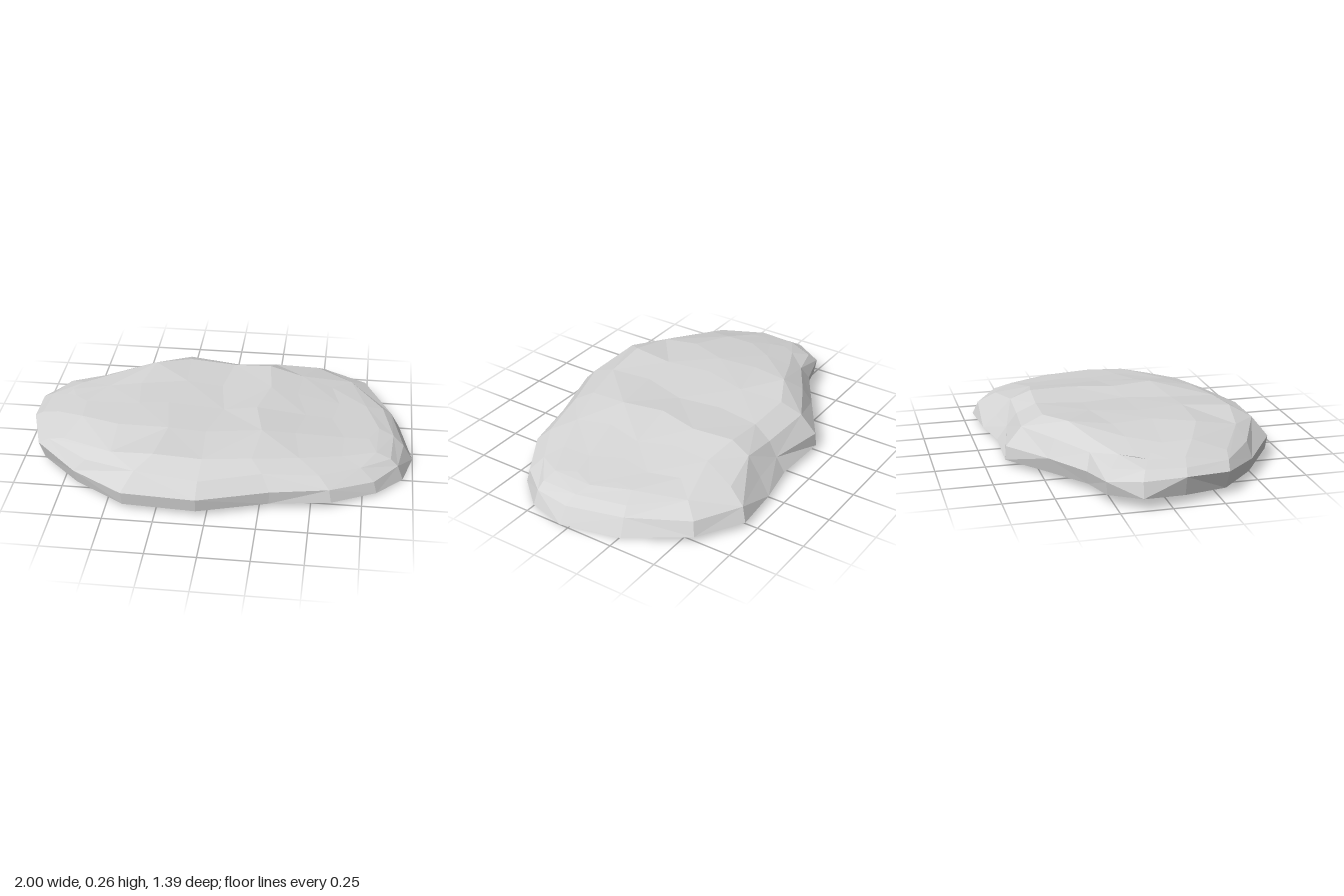
import * as THREE from 'three';

// Widest outline, from +x round through +z: x, z, base height, rim height, lean
// (lean > 0 draws the rim inward, lean < 0 draws the base inward)
const OUTLINE = [
  [1, 0.05, 0, 0.08, 0.05], [0.95, 0.25, 0.005, 0.08, 0.03], [0.82, 0.4, 0.015, 0.075, 0.02],
  [0.6, 0.53, 0.03, 0.095, 0.02], [0.3, 0.58, 0.03, 0.1, -0.01], [-0.05, 0.69, 0.03, 0.1, -0.015],
  [-0.42, 0.67, 0.03, 0.1, -0.015], [-0.69, 0.49, 0.02, 0.09, -0.02], [-0.91, 0.3, 0.03, 0.12, -0.03],
  [-0.98, 0.07, 0.045, 0.14, -0.02], [-1, -0.14, 0.06, 0.135, 0.02], [-0.9, -0.29, 0.05, 0.12, -0.02],
  [-0.72, -0.34, 0.04, 0.11, -0.03], [-0.5, -0.48, 0.03, 0.11, -0.03], [-0.25, -0.65, 0.03, 0.1, 0.01],
  [0.06, -0.64, 0.03, 0.1, 0.08], [0.28, -0.68, 0.03, 0.1, 0.1], [0.53, -0.7, 0.03, 0.1, 0.04],
  [0.76, -0.56, 0.03, 0.1, 0.03], [0.93, -0.26, 0.005, 0.09, 0.05],
];

// Shoulder where the sloping sides meet the top: x, y, z
const SHOULDER = [
  [0.82, 0.145, 0], [0.81, 0.14, 0.22], [0.64, 0.155, 0.3], [0.43, 0.18, 0.38], [0.2, 0.205, 0.45],
  [-0.04, 0.215, 0.5], [-0.28, 0.235, 0.51], [-0.5, 0.205, 0.47], [-0.77, 0.175, 0.33],
  [-0.85, 0.19, 0.1], [-0.84, 0.19, -0.08], [-0.77, 0.2, -0.2], [-0.6, 0.225, -0.28],
  [-0.4, 0.258, -0.36], [-0.22, 0.24, -0.45], [0.02, 0.225, -0.44], [0.22, 0.235, -0.43],
  [0.4, 0.2, -0.4], [0.56, 0.17, -0.35], [0.75, 0.152, -0.2],
];

// Height of the top along x
const CREST = [[-1, 0.14], [-0.85, 0.19], [-0.68, 0.225], [-0.42, 0.245], [-0.15, 0.24],
  [0, 0.22], [0.22, 0.237], [0.45, 0.19], [0.6, 0.168], [0.82, 0.145], [1, 0.1]];

function crestHeight(x) {
  const i = Math.max(1, CREST.findIndex((p) => p[0] >= x));
  const [a, b] = [CREST[i - 1], CREST[i]];
  return THREE.MathUtils.mapLinear(x, a[0], b[0], a[1], b[1]);
}

const mix = (p, q, t) => p.map((v, k) => v + (q[k] - v) * t);

function facetedMesh(name, positions, material) {
  const geometry = new THREE.BufferGeometry();
  geometry.setAttribute('position', new THREE.Float32BufferAttribute(positions, 3));
  geometry.computeVertexNormals(); // unshared corners give flat facets
  const mesh = new THREE.Mesh(geometry, material);
  mesh.name = name;
  return mesh;
}

// Two triangles with alternating diagonals
function quad(positions, a, b, c, d, flip) {
  if (flip) positions.push(...a, ...d, ...b, ...b, ...d, ...c);
  else positions.push(...a, ...d, ...c, ...a, ...c, ...b);
}

// Sides: rings from the open bottom edge over the rim to the shoulder
function sidePositions() {
  const base = OUTLINE.map(([x, z, y, , lean]) => {
    const s = 1 + Math.min(0, lean);
    return [x * s, y, z * s];
  });
  const rim = OUTLINE.map(([x, z, , y, lean]) => {
    const s = 1 - Math.max(0, lean);
    return [x * s, y, z * s];
  });
  const slope = rim.map((p, i) => {
    const point = mix(p, SHOULDER[i], i % 2 ? 0.34 : 0.42);
    point[1] += (SHOULDER[i][1] - p[1]) * 0.24;
    return point;
  });
  const rings = [base, rim, slope, SHOULDER];
  const positions = [];
  for (let r = 0; r < rings.length - 1; r++) {
    for (let i = 0; i < OUTLINE.length; i++) {
      const j = (i + 1) % OUTLINE.length;
      quad(positions, rings[r][i], rings[r][j], rings[r + 1][j], rings[r + 1][i], (i + r) % 2);
    }
  }
  return positions;
}

// Top: columns run front to back between opposite shoulder points
function topPositions() {
  const rows = 4;
  const columns = [];
  for (let i = 1; i < 10; i++) {
    const column = [];
    for (let k = 0; k <= rows; k++) {
      const point = mix(SHOULDER[i], SHOULDER[20 - i], k / rows);
      if (k > 0 && k < rows) {
        point[0] += (i + k) % 2 ? 0.025 : -0.025;
        point[1] = crestHeight(point[0]);
      }
      column.push(point);
    }
    columns.push(column);
  }
  const positions = [];
  const [first, last] = [columns[0], columns[columns.length - 1]];
  for (let k = 0; k < rows; k++) {
    for (let i = 0; i < columns.length - 1; i++) {
      const [p, q] = [columns[i], columns[i + 1]];
      quad(positions, p[k], q[k], q[k + 1], p[k + 1], (i + k) % 2);
    }
    // Fans closing the two ends
    positions.push(...SHOULDER[0], ...first[k + 1], ...first[k]);
    positions.push(...SHOULDER[10], ...last[k], ...last[k + 1]);
  }
  return positions;
}

export function createModel() {
  const group = new THREE.Group();
  group.name = 'flatRock';
  // The rock is a shell, open underneath
  const stone = new THREE.MeshStandardMaterial({
    color: 0xd5d5d5, flatShading: true, side: THREE.DoubleSide,
  });
  stone.name = 'stone grey';
  group.add(facetedMesh('rockSides', sidePositions(), stone));
  group.add(facetedMesh('rockTop', topPositions(), stone));
  return group;
}
